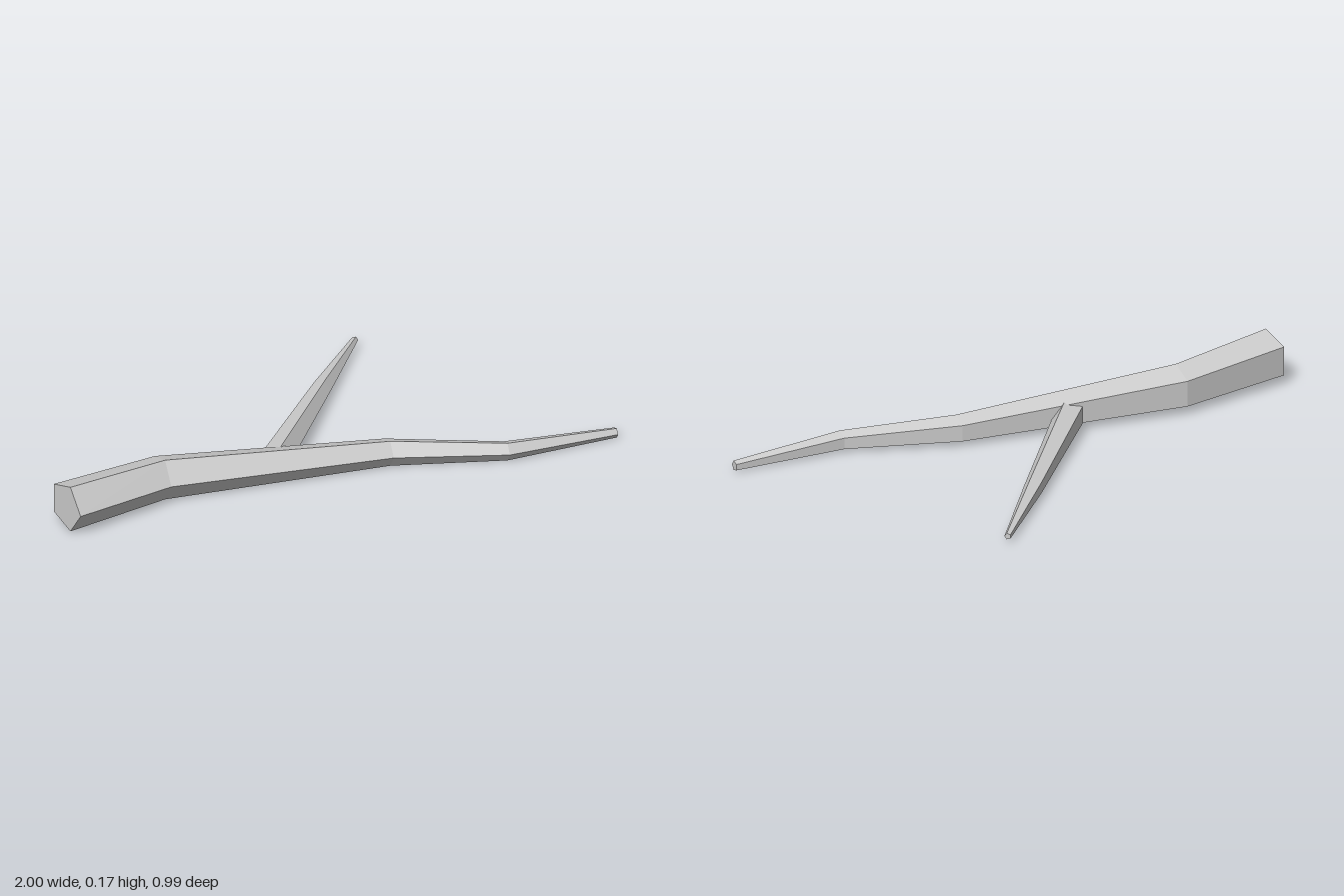
import * as THREE from 'three';

const SIDES = 5;

// Five-sided tapering limb through rings of [x, y, z, radius, dirX, dirZ]
function limb(name, rings, material) {
  const corners = rings.map(([x, y, z, r, dx, dz]) => {
    const len = Math.hypot(dx, dz);
    return Array.from({ length: SIDES }, (_, j) => {
      const a = (j / SIDES) * Math.PI * 2;
      const out = r * Math.cos(a);
      return [x - (out * dz) / len, y + r * Math.sin(a), z + (out * dx) / len];
    });
  });
  const pos = [];
  const tri = (a, b, c) => pos.push(...a, ...b, ...c);

  // Side faces
  for (let i = 0; i < corners.length - 1; i++) {
    for (let j = 0; j < SIDES; j++) {
      const k = (j + 1) % SIDES;
      const a = corners[i][j], b = corners[i + 1][j];
      const c = corners[i + 1][k], d = corners[i][k];
      tri(a, b, c);
      tri(a, c, d);
    }
  }
  // Flat cut ends
  const first = corners[0], last = corners[corners.length - 1];
  for (let j = 1; j < SIDES - 1; j++) {
    tri(first[0], first[j], first[j + 1]);
    tri(last[0], last[j + 1], last[j]);
  }

  const geometry = new THREE.BufferGeometry();
  geometry.setAttribute('position', new THREE.Float32BufferAttribute(pos, 3));
  geometry.computeVertexNormals();
  const mesh = new THREE.Mesh(geometry, material);
  mesh.name = name;
  return mesh;
}

export function createModel() {
  const group = new THREE.Group();
  group.name = 'forkedStick';
  const wood = new THREE.MeshStandardMaterial({ color: 0xcccccc });
  wood.name = 'paleGreyWood';

  // Main crooked stick, thick end at the model's right
  group.add(limb('mainStick', [
    [-0.982, 0.09, 0.323, 0.09, 1, -0.2],
    [-0.59, 0.08, 0.242, 0.08, 1, 0],
    [0.212, 0.05, 0.33, 0.05, 1, 0.05],
    [0.595, 0.035, 0.455, 0.035, 1, 0.05],
    [1.0, 0.021, 0.459, 0.0185, 1, 0],
  ], wood));

  // Side twig growing backwards out of the stick
  group.add(limb('sideTwig', [
    [-0.2, 0.0575, 0.28, 0.055, 0.635, -0.77],
    [0.184, 0.0375, -0.19, 0.034, 0.635, -0.77],
    [0.435, 0.024, -0.49, 0.0118, 0.635, -0.77],
  ], wood));

  return group;
}
